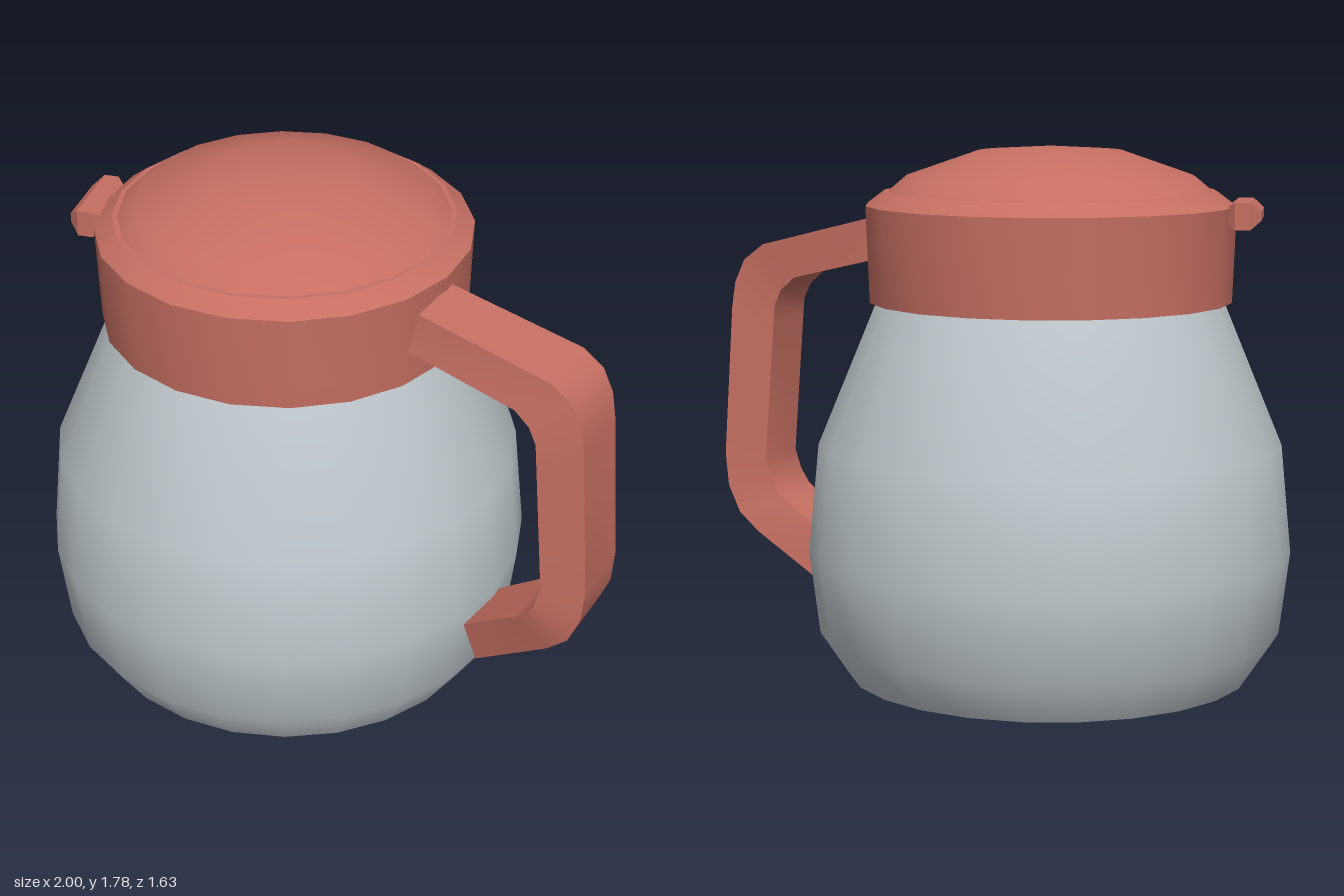
import * as THREE from 'three';
import { toCreasedNormals } from 'three/addons/utils/BufferGeometryUtils.js';

const AXIS_X = -0.185; // the jug's axis; the handle shifts it off centre

// Turned part from [radius, y] points
function turned(name, profile, sides, crease, material) {
  const points = profile.map(([r, y]) => new THREE.Vector2(r, y));
  const geometry = toCreasedNormals(new THREE.LatheGeometry(points, sides), crease);
  const mesh = new THREE.Mesh(geometry, material);
  mesh.name = name;
  mesh.position.x = AXIS_X;
  return mesh;
}

// Solid through four-cornered rings, closed at both ends
function loft(name, rings, crease, material) {
  const positions = [];
  const quad = (a, b, c, d) => [a, b, c, a, c, d].forEach(p => positions.push(...p));
  for (let i = 0; i < rings.length - 1; i++) {
    const a = rings[i], b = rings[i + 1];
    for (let j = 0; j < 4; j++) {
      const k = (j + 1) % 4;
      quad(a[j], b[j], b[k], a[k]);
    }
  }
  quad(...rings[0]);
  quad(...[...rings[rings.length - 1]].reverse());
  const geometry = new THREE.BufferGeometry();
  geometry.setAttribute('position', new THREE.Float32BufferAttribute(positions, 3));
  const mesh = new THREE.Mesh(toCreasedNormals(geometry, crease), material);
  mesh.name = name;
  return mesh;
}

export function createModel() {
  const steel = new THREE.MeshStandardMaterial({ color: 0xc0c9ce });
  steel.name = 'pale grey';
  const red = new THREE.MeshStandardMaterial({ color: 0xc66f62 });
  red.name = 'terracotta red';

  const group = new THREE.Group();
  group.name = 'jug';

  // Bulging body with a flat base
  group.add(turned('body', [
    [0, 0], [0.68, 0], [0.78, 0.15], [0.815, 0.43], [0.78, 0.795], [0.575, 1.29],
  ], 24, 0.6, steel));

  // Collar with a bevelled rim, and the domed lid on it
  group.add(turned('collar', [
    [0.5, 1.27], [0.608, 1.27], [0.62, 1.59], [0.56, 1.635], [0.5, 1.635],
  ], 20, 0.5, red));
  group.add(turned('lid', [
    [0.55, 1.63], [0.485, 1.685], [0.24, 1.77], [0, 1.785],
  ], 20, 0.5, red));

  // Handle: matching outer and inner points of its near face, from top to bottom
  const bends = [
    [0.355, 1.54, 0.325, 1.4],
    [0.8, 1.425, 0.69, 1.31],
    [0.87, 1.37, 0.74, 1.265],
    [0.905, 1.29, 0.765, 1.21],
    [0.918, 1.2, 0.77, 1.15],
    [0.95, 0.68, 0.805, 0.66],
    [0.94, 0.565, 0.785, 0.59],
    [0.9, 0.47, 0.755, 0.54],
    [0.83, 0.405, 0.715, 0.51],
    [0.575, 0.235, 0.53, 0.37],
  ];
  const handleRings = bends.map(([ox, oy, ix, iy], i) => {
    // The arms slant in z towards the body
    const start = i < 5 ? 0.34 : 0.55;
    const z = 0.36 + 0.128 * THREE.MathUtils.clamp(((ox + ix) / 2 - start) / (0.845 - start), 0, 1);
    const bx = 0.053, bz = z - 0.215 - 0.028 * (z - 0.36) / 0.128;
    return [[ox, oy, z], [ox + bx, oy, bz], [ix + bx, iy, bz], [ix, iy, z]];
  });
  group.add(loft('handle', handleRings, 0.6, red));

  // Chamfered thumb latch opposite the handle
  const latchRings = [
    [-0.89, 0.015, 0.1], [-0.855, 0.045, 0.133], [-0.805, 0.045, 0.133],
    [-0.77, 0.02, 0.1], [-0.7, 0.02, 0.1],
  ].map(([x, h, w]) => {
    const y = 1.565;
    return [[x, y + h, w], [x, y + h, -w], [x, y - h, -w], [x, y - h, w]];
  });
  group.add(loft('latch', latchRings, 0.3, red));

  return group;
}
